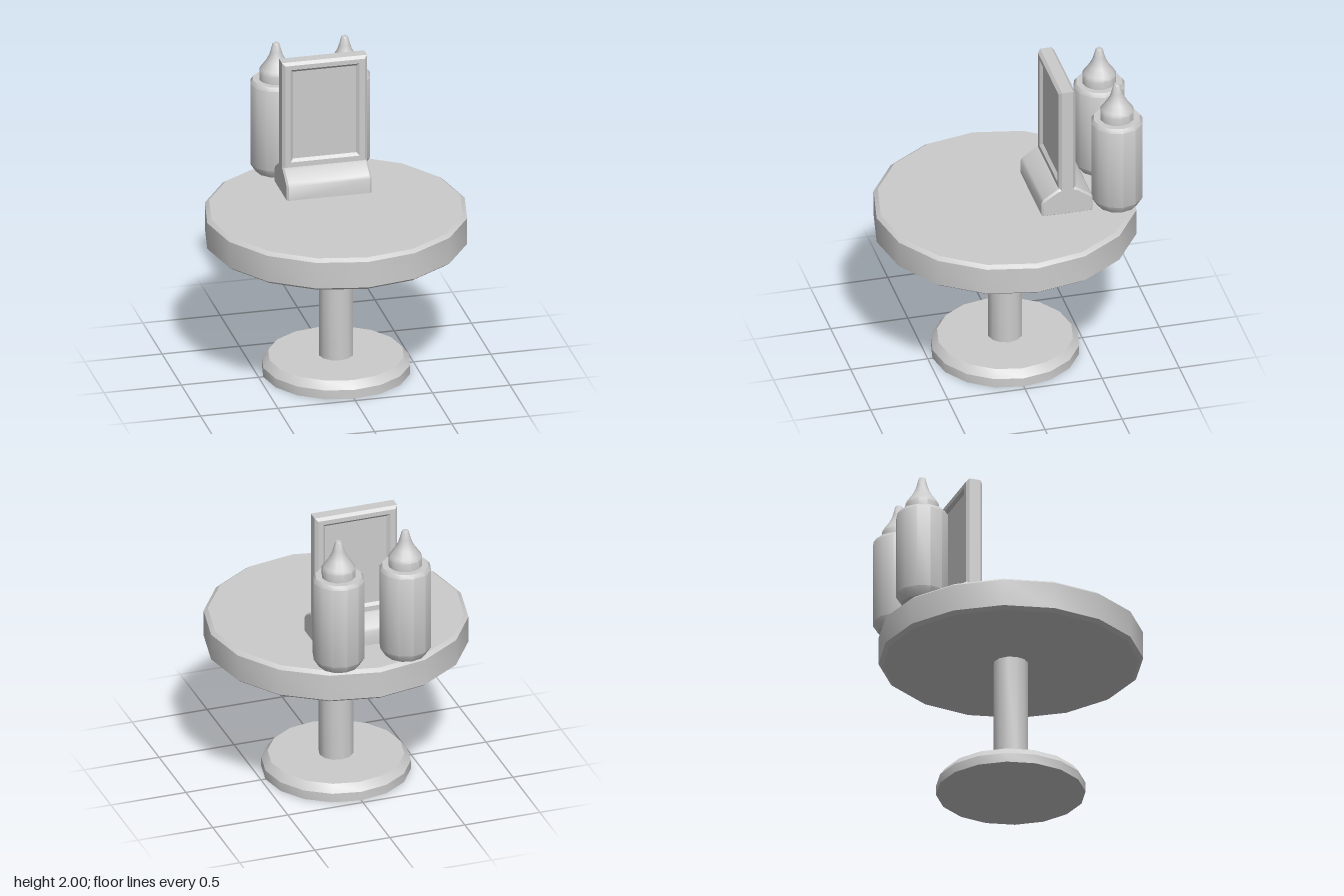
import * as THREE from 'three';
import { toCreasedNormals } from 'three/addons/utils/BufferGeometryUtils.js';

const CREASE = 0.62;

export function createModel() {
  const model = new THREE.Group();
  model.name = 'cafeTable';
  const grey = new THREE.MeshStandardMaterial({ color: 0xcccccc });
  grey.name = 'plain grey';

  const add = (name, geometry, parent = model) => {
    const mesh = new THREE.Mesh(geometry, grey);
    mesh.name = name;
    parent.add(mesh);
    return mesh;
  };

  // Turned part from [radius, height] pairs, listed bottom to top
  const turned = (profile, sides) => toCreasedNormals(
    new THREE.LatheGeometry(profile.map(([r, y]) => new THREE.Vector2(r, y)), sides), CREASE);

  // Extrusion centred on its depth, with a chamfer kept inside the outline
  const chamfered = (shape, depth, bevel) => {
    const geometry = new THREE.ExtrudeGeometry(shape, {
      depth: depth - 2 * bevel, bevelEnabled: true, bevelSegments: 1,
      bevelSize: bevel, bevelThickness: bevel, bevelOffset: -bevel,
    });
    geometry.translate(0, 0, bevel - depth / 2);
    return toCreasedNormals(geometry, CREASE);
  };

  const outline = (points) => points.map(([x, y]) => new THREE.Vector2(x, y));

  // Table
  add('foot', turned([[0, 0], [0.47, 0], [0.47, 0.06], [0.43, 0.11], [0, 0.11]], 16));
  add('pole', turned([[0.11, 0.1], [0.11, 0.9]], 12));
  add('tableTop', turned([
    [0, 0.895], [0.805, 0.895], [0.832, 0.915], [0.832, 1.09], [0.805, 1.11], [0, 1.11],
  ], 16));

  // Menu stand: sloped foot, open frame and recessed panel
  const menu = new THREE.Group();
  menu.name = 'menuStand';
  menu.position.z = -0.335;
  model.add(menu);

  const foot = add('menuFoot', chamfered(new THREE.Shape(outline([
    [-0.165, 1.1], [0.165, 1.1], [0.165, 1.205], [0.152, 1.225], [0.07, 1.28],
    [0.05, 1.29], [-0.05, 1.29], [-0.07, 1.28], [-0.152, 1.225], [-0.165, 1.205],
  ])), 0.55, 0.012), menu);
  foot.rotation.y = Math.PI / 2;

  const frame = new THREE.Shape(outline([[-0.275, 1.22], [0.275, 1.22], [0.275, 2], [-0.275, 2]]));
  frame.holes.push(new THREE.Path(outline(
    [[-0.205, 1.34], [-0.205, 1.935], [0.205, 1.935], [0.205, 1.34]])));
  add('menuFrame', chamfered(frame, 0.108, 0.018), menu);

  const panel = new THREE.BoxGeometry(0.43, 0.62, 0.07);
  panel.translate(0, 1.64, 0);
  add('menuPanel', panel, menu);

  // Pair of squeeze bottles
  const body = turned([
    [0, 1.11], [0.13, 1.11], [0.165, 1.165], [0.165, 1.71], [0.148, 1.735], [0, 1.735],
  ], 12);
  const nozzle = turned([
    [0.108, 1.73], [0.108, 1.79], [0.098, 1.81], [0.065, 1.855], [0.046, 1.89],
    [0.036, 1.92], [0.023, 1.97], [0.018, 1.978], [0, 1.978],
  ], 12);
  for (const [side, name] of [[1, 'leftBottle'], [-1, 'rightBottle']]) {
    const bottle = new THREE.Group();
    bottle.name = name;
    bottle.position.set(side * 0.222, 0, -0.668);
    add('bottleBody', body, bottle);
    add('bottleNozzle', nozzle, bottle);
    model.add(bottle);
  }

  return model;
}
